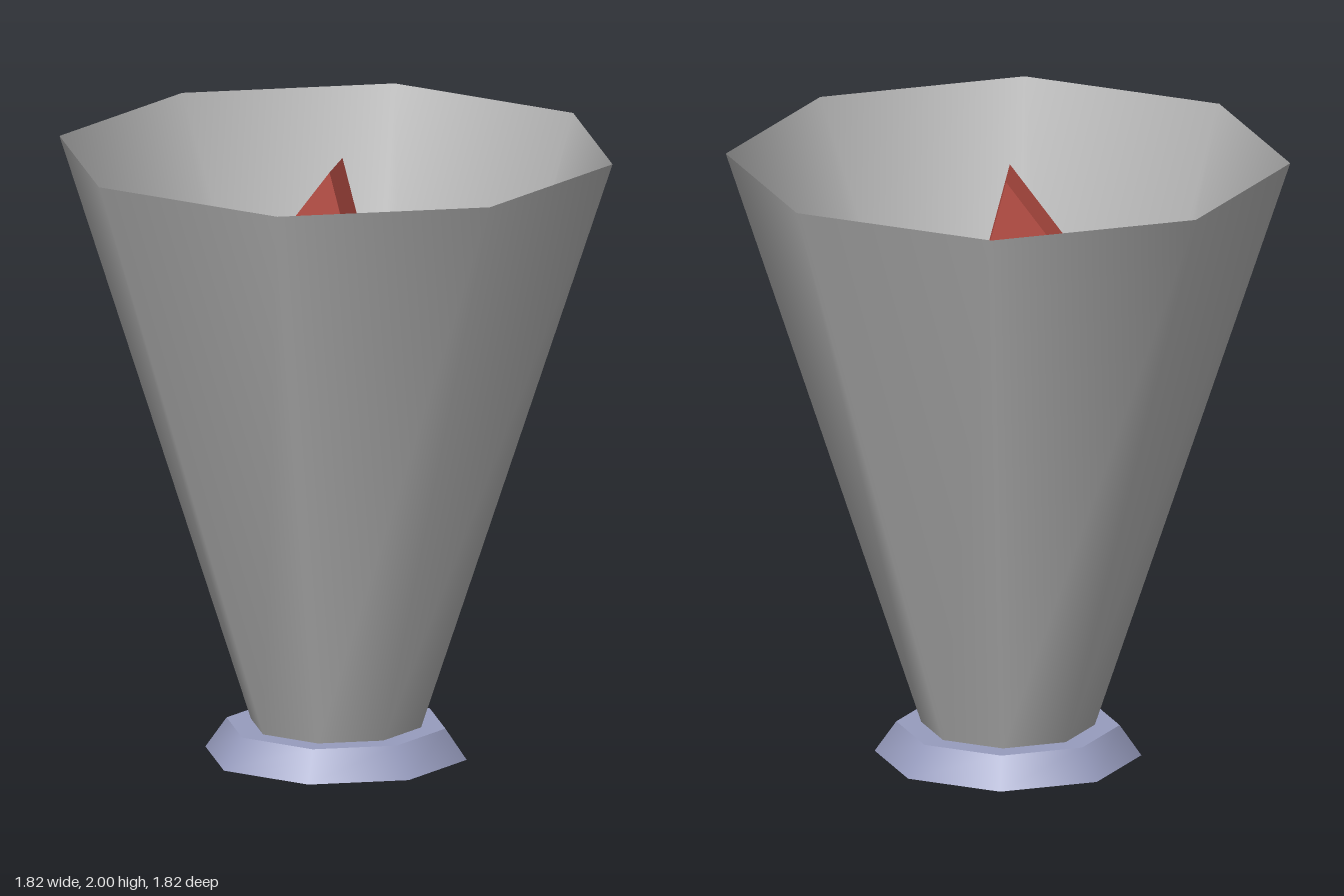
import * as THREE from 'three';

const material = (name, color, side = THREE.FrontSide) => {
  const m = new THREE.MeshStandardMaterial({ color, side });
  m.name = name;
  return m;
};

// Two-tipped flame outline, standing on FLAME_BASE
const FLAME_BASE = 0.6;
const OUTLINE = [
  [0, 1.95], [-0.29, 1.56], [-0.37, 1.36], [-0.43, 1.1], [-0.38, 0.82], [-0.22, 0.65], [0, 0.6],
  [0.22, 0.65], [0.38, 0.82], [0.43, 1.08], [0.37, 1.33], [0.26, 1.58], [0.18, 1.33], [0.08, 1.64],
];

function flame(name, scale, depth, mat) {
  const points = OUTLINE.map(([x, y]) =>
    new THREE.Vector2(x * scale, FLAME_BASE + (y - FLAME_BASE) * scale));
  const geometry = new THREE.ExtrudeGeometry(new THREE.Shape(points), { depth, bevelEnabled: false });
  geometry.translate(0, 0, -depth / 2);
  const mesh = new THREE.Mesh(geometry, mat);
  mesh.name = name;
  return mesh;
}

export function createModel() {
  const group = new THREE.Group();
  group.name = 'torch';

  // Open eight-sided cup, flaring upward
  const cup = new THREE.Mesh(
    new THREE.CylinderGeometry(0.91, 0.28, 1.9, 8, 1, true),
    material('grey metal', 0xb4b4b4, THREE.DoubleSide));
  cup.name = 'cup';
  cup.position.y = 1.05;

  // Tapered foot
  const foot = new THREE.Mesh(
    new THREE.CylinderGeometry(0.36, 0.43, 0.1, 8),
    material('blue grey', 0x979cbe));
  foot.name = 'foot';
  foot.position.y = 0.05;

  // Flat flame with a smaller core showing on both faces
  group.add(cup, foot,
    flame('outerFlame', 1, 0.2, material('flame red', 0xbc5046)),
    flame('innerFlame', 0.6, 0.245, material('flame gold', 0xc09a45)));
  return group;
}
